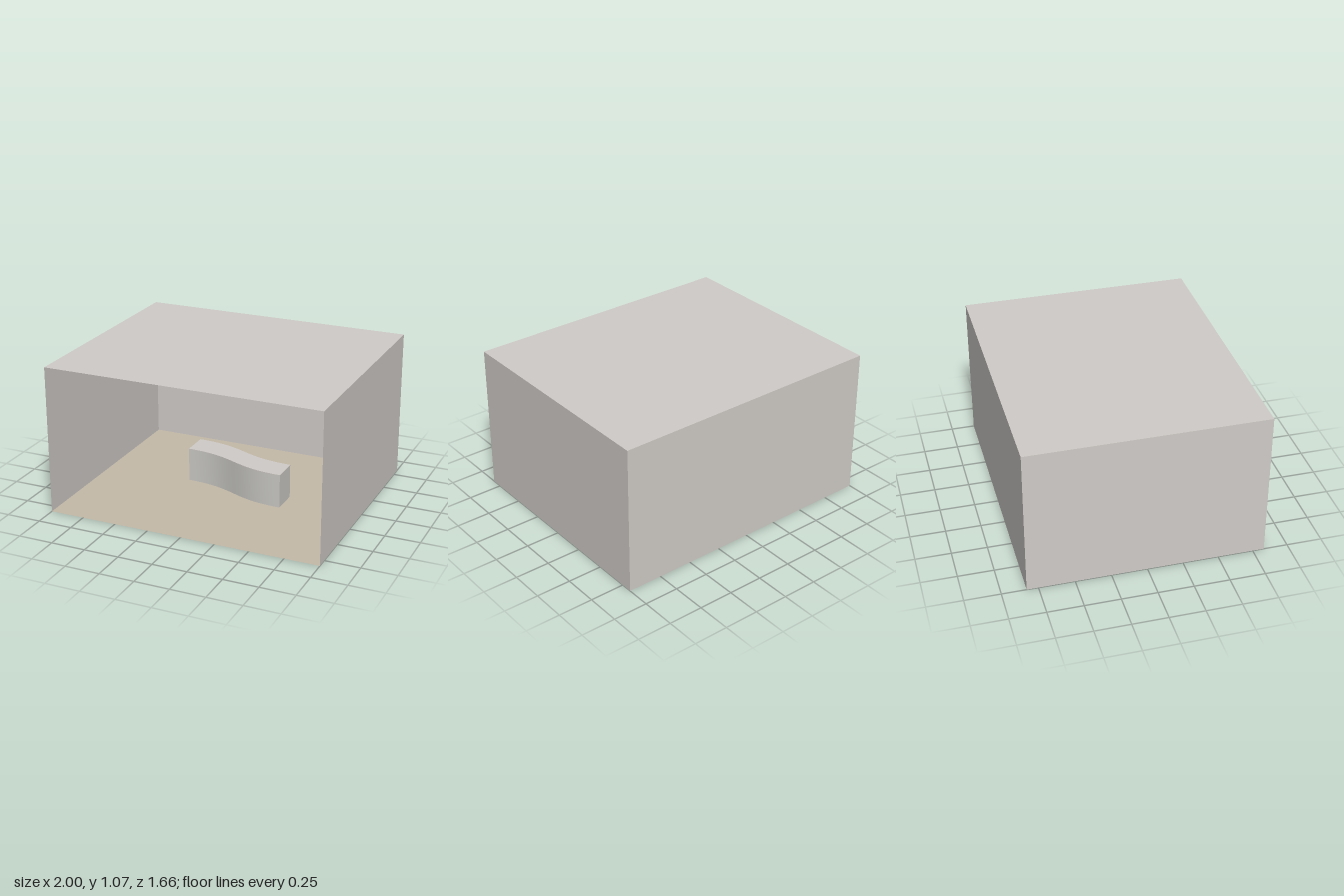
import * as THREE from 'three';
import { toCreasedNormals } from 'three/addons/utils/BufferGeometryUtils.js';

const W = 2, H = 1.07, D = 1.66;

export function createModel() {
  const group = new THREE.Group();
  const wallMat = new THREE.MeshStandardMaterial({ color: 0xd0ccc8, side: THREE.DoubleSide });
  wallMat.name = 'warm grey';
  const floorMat = new THREE.MeshStandardMaterial({ color: 0xc5baa8, side: THREE.DoubleSide });
  floorMat.name = 'tan floor';
  const deskMat = new THREE.MeshStandardMaterial({ color: 0xcdccc7 });
  deskMat.name = 'pale grey';

  // Thin room panels, turned outwards; the front stays open
  function panel(name, w, h, mat, pos, rot) {
    const mesh = new THREE.Mesh(new THREE.PlaneGeometry(w, h), mat);
    mesh.name = name;
    mesh.position.set(...pos);
    mesh.rotation.set(...rot);
    group.add(mesh);
  }
  const q = Math.PI / 2;
  panel('floor', W, D, floorMat, [0, 0, 0], [-q, 0, 0]);
  panel('ceiling', W, D, wallMat, [0, H, 0], [-q, 0, 0]);
  panel('backWall', W, H, wallMat, [0, H / 2, -D / 2], [0, Math.PI, 0]);
  for (const s of [-1, 1]) {
    panel(s > 0 ? 'leftWall' : 'rightWall', D, H, wallMat, [s * W / 2, H / 2, 0], [0, s * q, 0]);
  }

  // S-shaped counter plan: shape y is -z
  const x0 = -0.35, x1 = 0.435, xm = (x0 + x1) / 2;
  const front0 = 0.044, front1 = -0.128, depth = 0.198;
  const plan = new THREE.Shape();
  plan.moveTo(x0, front0);
  plan.bezierCurveTo(xm, front0, xm, front1, x1, front1);
  plan.lineTo(x1, front1 + depth);
  plan.bezierCurveTo(xm, front1 + depth, xm, front0 + depth, x0, front0 + depth);
  plan.closePath();

  // Counter body and its thin top
  function slab(name, y, height, mat) {
    const geo = new THREE.ExtrudeGeometry(plan, { depth: height, bevelEnabled: false, curveSegments: 20 });
    geo.rotateX(-q);
    const mesh = new THREE.Mesh(toCreasedNormals(geo, 0.5), mat);
    mesh.name = name;
    mesh.position.y = y;
    group.add(mesh);
  }
  slab('counterBody', 0, 0.242, deskMat);
  slab('counterTop', 0.242, 0.008, wallMat);

  return group;
}
